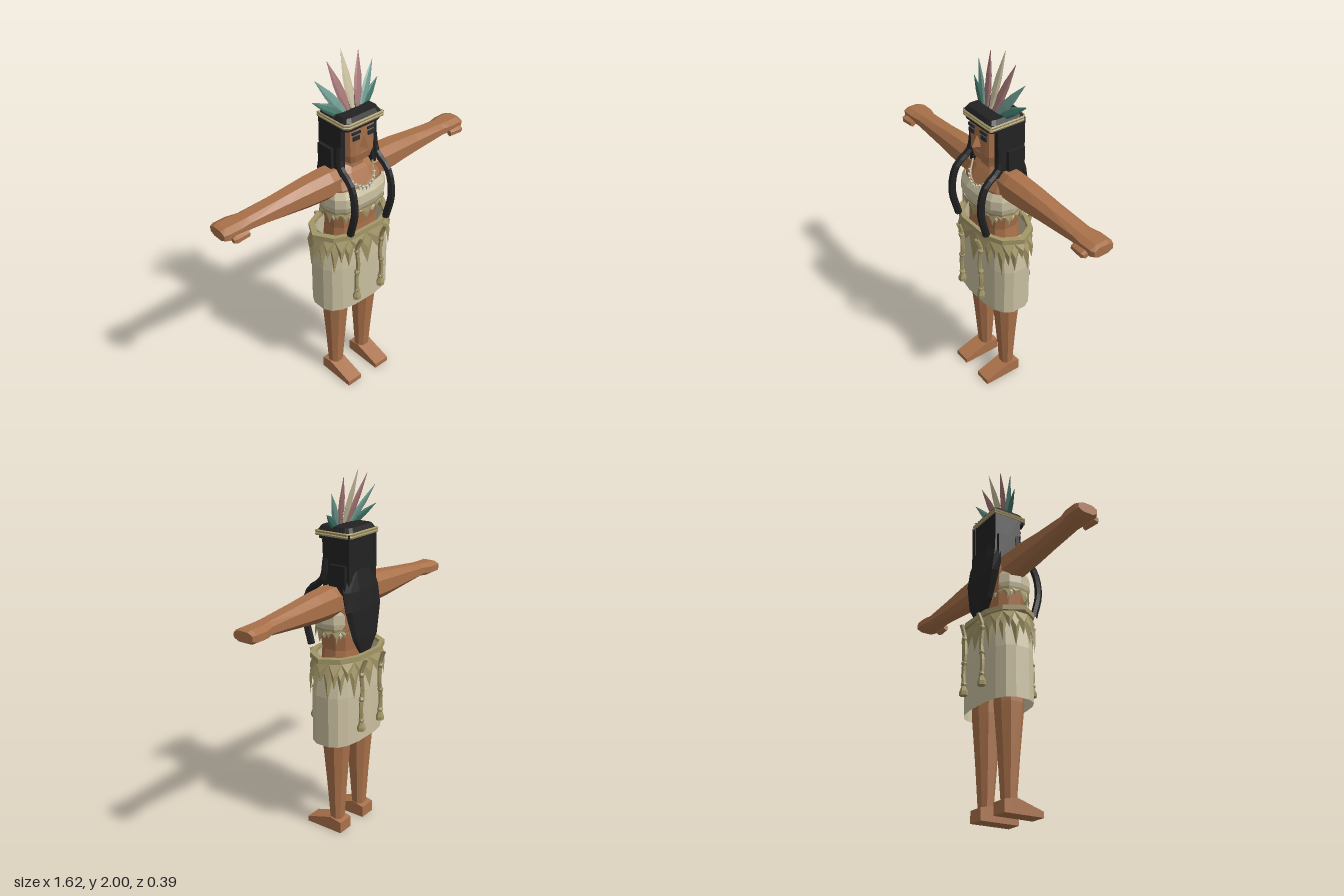
import * as THREE from 'three';

const mat = (name, color, double) => {
  const m = new THREE.MeshStandardMaterial({ color });
  m.name = name;
  if (double) m.side = THREE.DoubleSide;
  return m;
};
const skin = mat('skin', 0xa9714a);
const hair = mat('hair', 0x222223);
const cream = mat('cream cloth', 0xc9bfa0, true);
const tan = mat('tan hide', 0xa39668, true);
const teal = mat('teal feather', 0x6f9a90);
const deepTeal = mat('deep teal feather', 0x3f7468);
const mauve = mat('mauve feather', 0xa57877);
const dark = mat('eye dark', 0x272d36);
const bone = mat('bone white', 0xd9d2c2);

// Faceted normals for the low-poly look
function flat(geo) {
  const g = geo.index ? geo.toNonIndexed() : geo;
  g.computeVertexNormals();
  return g;
}

// Point on a squared-off oval; p = 2 is an ellipse, larger is boxier
function oval(t, rx, rz, p = 2) {
  const s = Math.sin(t), c = Math.cos(t);
  return [rx * Math.sign(s) * Math.abs(s) ** (2 / p), rz * Math.sign(c) * Math.abs(c) ** (2 / p)];
}

// Loft through rings [y, rx, rz, cx, cz] stacked upwards
function loft(rings, n = 8, p = 2, capped = true) {
  const pos = [], idx = [];
  for (const [y, rx, rz, cx = 0, cz = 0] of rings)
    for (let i = 0; i < n; i++) {
      const [x, z] = oval(((i + 0.5) / n) * Math.PI * 2, rx, rz, p);
      pos.push(x + cx, y, z + cz);
    }
  for (let r = 0; r < rings.length - 1; r++)
    for (let i = 0; i < n; i++) {
      const a = r * n + i, b = r * n + ((i + 1) % n);
      idx.push(a, b, b + n, a, b + n, a + n);
    }
  if (capped) {
    const top = (rings.length - 1) * n;
    for (let i = 1; i < n - 1; i++) idx.push(0, i + 1, i, top, top + i, top + i + 1);
  }
  const g = new THREE.BufferGeometry();
  g.setAttribute('position', new THREE.Float32BufferAttribute(pos, 3));
  g.setIndex(idx);
  return flat(g);
}

// Row of hanging points round an oval: each spans two steps and ends in a tip
function fringe(count, rx, rz, cz, yTop, yTip, flare, phase) {
  const pos = [], step = (Math.PI * 2) / count;
  for (let i = 0; i < count; i++) {
    const t = (i + phase) * step, tip = yTip + (i % 2) * 0.03;
    const at = (a, y, f) => { const [x, z] = oval(a, rx * f, rz * f, 2.5); return [x, y, z + cz]; };
    const l = at(t - step * 0.55, yTop, 1), r = at(t + step * 0.55, yTop, 1);
    const low = at(t, tip, flare), mid = at(t, (yTop + tip) / 2, flare * 1.03);
    pos.push(...l, ...mid, ...r, ...l, ...low, ...mid, ...mid, ...low, ...r);
  }
  const g = new THREE.BufferGeometry();
  g.setAttribute('position', new THREE.Float32BufferAttribute(pos, 3));
  g.computeVertexNormals();
  return g;
}

const curve = (pts) => new THREE.CatmullRomCurve3(pts.map((q) => new THREE.Vector3(...q)));
const tube = (pts, r, n = 6, seg = 10) => flat(new THREE.TubeGeometry(curve(pts), seg, r, n));

export function createModel() {
  const model = new THREE.Group();
  const add = (name, geo, material, x = 0, y = 0, z = 0, parent = model) => {
    const m = new THREE.Mesh(geo, material);
    m.name = name;
    m.position.set(x, y, z);
    parent.add(m);
    return m;
  };

  // Torso, neck and head
  add('torso', loft([[0.72, 0.17, 0.1], [1.0, 0.16, 0.1], [1.08, 0.148, 0.1], [1.2, 0.165, 0.112],
    [1.32, 0.17, 0.108], [1.39, 0.155, 0.08, 0, -0.01], [1.43, 0.09, 0.06, 0, -0.015]], 12, 2.6), skin);
  add('neck', loft([[1.38, 0.078, 0.06], [1.5, 0.072, 0.055]], 8, 2.5), skin);
  add('head', loft([[1.455, 0.074, 0.075, 0, 0.01], [1.5, 0.088, 0.086, 0, 0.01],
    [1.67, 0.092, 0.088, 0, 0.01]], 12, 5), skin);
  add('nose', flat(new THREE.ConeGeometry(0.032, 0.06, 3)), skin, 0, 1.572, 0.102);
  add('mouth', new THREE.BoxGeometry(0.03, 0.006, 0.006), mauve, 0, 1.505, 0.094);

  for (const s of [1, -1]) {
    const side = s > 0 ? 'left' : 'right';
    // Face details
    add(side + 'Brow', new THREE.BoxGeometry(0.052, 0.014, 0.008), dark, s * 0.05, 1.633, 0.098);
    add(side + 'Eye', new THREE.BoxGeometry(0.044, 0.022, 0.008), dark, s * 0.05, 1.604, 0.098);

    // Arm, hand and thumb, lofted upright then laid along x
    const arm = loft([[0.1, 0.08, 0.072, -1.345, -0.004], [0.17, 0.083, 0.077, -1.348, -0.003],
      [0.3, 0.076, 0.072, -1.346, -0.007], [0.45, 0.06, 0.064, -1.345, -0.01], [0.66, 0.038, 0.058, -1.345, -0.014],
      [0.72, 0.038, 0.07, -1.342, -0.02], [0.79, 0.037, 0.07, -1.342, -0.02],
      [0.812, 0.028, 0.06, -1.343, -0.02]], 8, 2.5);
    arm.rotateZ(-Math.PI / 2);
    if (s < 0) arm.rotateY(Math.PI).scale(1, 1, -1);
    if (s < 0) { // restore corner order after the mirror
      const a = arm.attributes.position.array;
      for (let i = 0; i < a.length; i += 9)
        for (let k = 0; k < 3; k++) [a[i + k], a[i + 3 + k]] = [a[i + 3 + k], a[i + k]];
      arm.computeVertexNormals();
    }
    add(side + 'Arm', arm, skin);
    const thumb = loft([[-0.045, 0.018, 0.015], [0.03, 0.022, 0.022], [0.045, 0.014, 0.014]], 6);
    add(side + 'Thumb', thumb, skin, s * 0.735, 1.328, 0.058).rotation.z = -s * Math.PI / 2;

    // Leg and wedge-shaped foot
    add(side + 'Leg', loft([[0.05, 0.042, 0.036, s * 0.104, -0.012], [0.3, 0.058, 0.054, s * 0.104, -0.01],
      [0.56, 0.076, 0.076, s * 0.105, -0.008], [0.82, 0.08, 0.08, s * 0.1, -0.006]], 8, 2.4), skin);
    const sole = new THREE.Shape([[-0.07, 0], [0.16, 0], [0.16, 0.03], [0.0, 0.08], [-0.07, 0.065]]
      .map((q) => new THREE.Vector2(...q)));
    const foot = new THREE.ExtrudeGeometry(sole, { depth: 0.096, bevelEnabled: false });
    foot.rotateY(-Math.PI / 2);
    add(side + 'Foot', foot, skin, s * 0.107 + 0.048, 0, 0);

    // Side hair and the front lock falling over the chest
    add(side + 'SideHair', new THREE.BoxGeometry(0.028, 0.3, 0.165), hair, s * 0.106, 1.54, -0.02);
    add(side + 'LowerSideHair', new THREE.BoxGeometry(0.028, 0.15, 0.1), hair, s * 0.125, 1.46, -0.04);
    add(side + 'FrontLock', tube([[s * 0.112, 1.56, 0.045], [s * 0.122, 1.45, 0.06], [s * 0.126, 1.375, 0.145],
      [s * 0.128, 1.24, 0.175], [s * 0.126, 1.08, 0.14]], 0.02, 6, 14), hair);

    // Cords with knots and tassels, front and back
    for (const f of [1, -1]) {
      const cord = new THREE.Group();
      cord.name = side + (f > 0 ? 'FrontCord' : 'BackCord');
      const z = f > 0 ? 0.152 : -0.162, x = s * 0.088;
      add('cord', tube([[x * 0.95, 1.04, z + f * 0.022], [x, 0.98, z], [x * 0.9, 0.86, z],
        [x * 1.05, 0.78, z], [x, 0.69, z]], 0.012, 5, 12), tan, 0, 0, 0, cord);
      for (const y of [0.96, 0.82, 0.7])
        add('knot', flat(new THREE.IcosahedronGeometry(0.018, 0)), tan, x, y, z, cord);
      add('tassel', loft([[0.64, 0.024, 0.022], [0.66, 0.025, 0.022], [0.7, 0.009, 0.009]], 6), tan, x, 0, z, cord);
      model.add(cord);
    }
  }

  // Hair cap, back of the head and long back hair
  add('hairCap', loft([[1.655, 0.117, 0.103], [1.7, 0.122, 0.105], [1.722, 0.108, 0.092]], 12, 8), hair);
  add('hairBackOfHead', new THREE.BoxGeometry(0.23, 0.3, 0.09), hair, 0, 1.53, -0.055);
  add('longHair', loft([[1.06, 0.05, 0.012, 0, -0.118], [1.14, 0.105, 0.022, 0, -0.118],
    [1.3, 0.148, 0.034, 0, -0.104], [1.4, 0.145, 0.042, 0, -0.085], [1.5, 0.122, 0.048, 0, -0.055]], 10, 2.6), hair);

  // Headband: twin cords round the cap
  for (const y of [1.678, 1.692]) {
    const pts = [[1, 1], [1, -1], [-1, -1], [-1, 1]].map(([a, b]) => new THREE.Vector3(a * 0.12, y, b * 0.104));
    const loop = new THREE.CurvePath();
    pts.forEach((q, i) => loop.add(new THREE.LineCurve3(q, pts[(i + 1) % 4])));
    add('headband', flat(new THREE.TubeGeometry(loop, 32, 0.008, 5)), tan);
  }

  // Feather fan: base x, tip x, tip y, tip z, width
  const feathers = [[0, 0, 2.0, -0.07, 0.027, cream], [0.025, 0.1, 1.97, -0.055, 0.027, mauve],
    [0.045, 0.185, 1.9, -0.045, 0.026, teal], [0.05, 0.212, 1.8, -0.035, 0.026, deepTeal]];
  for (const [bx, tx, ty, tz, w, m] of feathers)
    for (const s of bx ? [1, -1] : [1]) {
      const dir = new THREE.Vector3(s * (tx - bx), ty - 1.7, tz - 0.025), L = dir.length();
      const f = add('feather', loft([[0, 0.01, 0.005], [L * 0.35, w, 0.008], [L * 0.6, w * 0.85, 0.007],
        [L, 0.001, 0.001]], 6), m, s * bx, 1.7, 0.025);
      f.quaternion.setFromUnitVectors(new THREE.Vector3(0, 1, 0), dir.normalize());
    }

  // Chest wrap and its points
  add('chestWrap', loft([[1.19, 0.18, 0.112, 0, 0.012], [1.23, 0.19, 0.122, 0, 0.016],
    [1.28, 0.19, 0.12, 0, 0.016], [1.318, 0.18, 0.105, 0, 0.01]], 14, 2.5, false), cream);
  add('chestWrapHem', loft([[1.188, 0.185, 0.117, 0, 0.013], [1.204, 0.188, 0.12, 0, 0.014]], 14, 2.5, false), tan);
  add('chestFringe', fringe(18, 0.184, 0.116, 0.013, 1.195, 1.125, 1, 0), tan);
  add('chestPoints', fringe(18, 0.18, 0.115, 0.013, 1.19, 1.15, 1.0, 0.5), cream);

  // Necklace of pale teeth
  const string = [[-0.095, 1.405, 0.062], [-0.06, 1.345, 0.104], [0, 1.32, 0.118], [0.06, 1.345, 0.104], [0.095, 1.405, 0.062]];
  add('necklaceString', tube(string, 0.006, 5, 16), tan);
  const path = curve(string);
  for (let i = 0; i < 9; i++) {
    const q = path.getPointAt(0.18 + i * 0.08);
    const tooth = add('necklaceTooth', flat(new THREE.ConeGeometry(0.009, 0.036, 5)), bone, q.x, q.y - 0.016, q.z + 0.006);
    tooth.rotation.x = Math.PI;
  }

  // Skirt, open at both ends
  add('skirt', loft([[0.56, 0.23, 0.128, 0, -0.006], [0.84, 0.23, 0.128, 0, -0.006],
    [0.95, 0.215, 0.122, 0, -0.006], [1.05, 0.2, 0.118, 0, -0.006]], 16, 2.8, false), cream);
  add('skirtPoints', fringe(14, 0.22, 0.132, -0.007, 1.04, 0.83, 1.1, 0), tan);
  add('skirtUpperPoints', fringe(14, 0.225, 0.136, -0.007, 1.04, 0.9, 1.08, 0.5), tan);

  // Belt: a flat faceted ring
  const rim = [[0.258, 0], [0.2, 0.1], [0.1, 0.145], [-0.1, 0.145], [-0.2, 0.1],
    [-0.258, 0], [-0.2, -0.1], [-0.1, -0.145], [0.1, -0.145], [0.2, -0.1]].map((q) => new THREE.Vector2(...q));
  const ring = new THREE.Shape(rim);
  ring.holes.push(new THREE.Path(rim.map((q) => q.clone().multiplyScalar(0.86))));
  const belt = new THREE.ExtrudeGeometry(ring, { depth: 0.028, bevelEnabled: false });
  belt.rotateX(-Math.PI / 2);
  add('belt', belt, tan, 0, 1.036, -0.008);

  return model;
}
